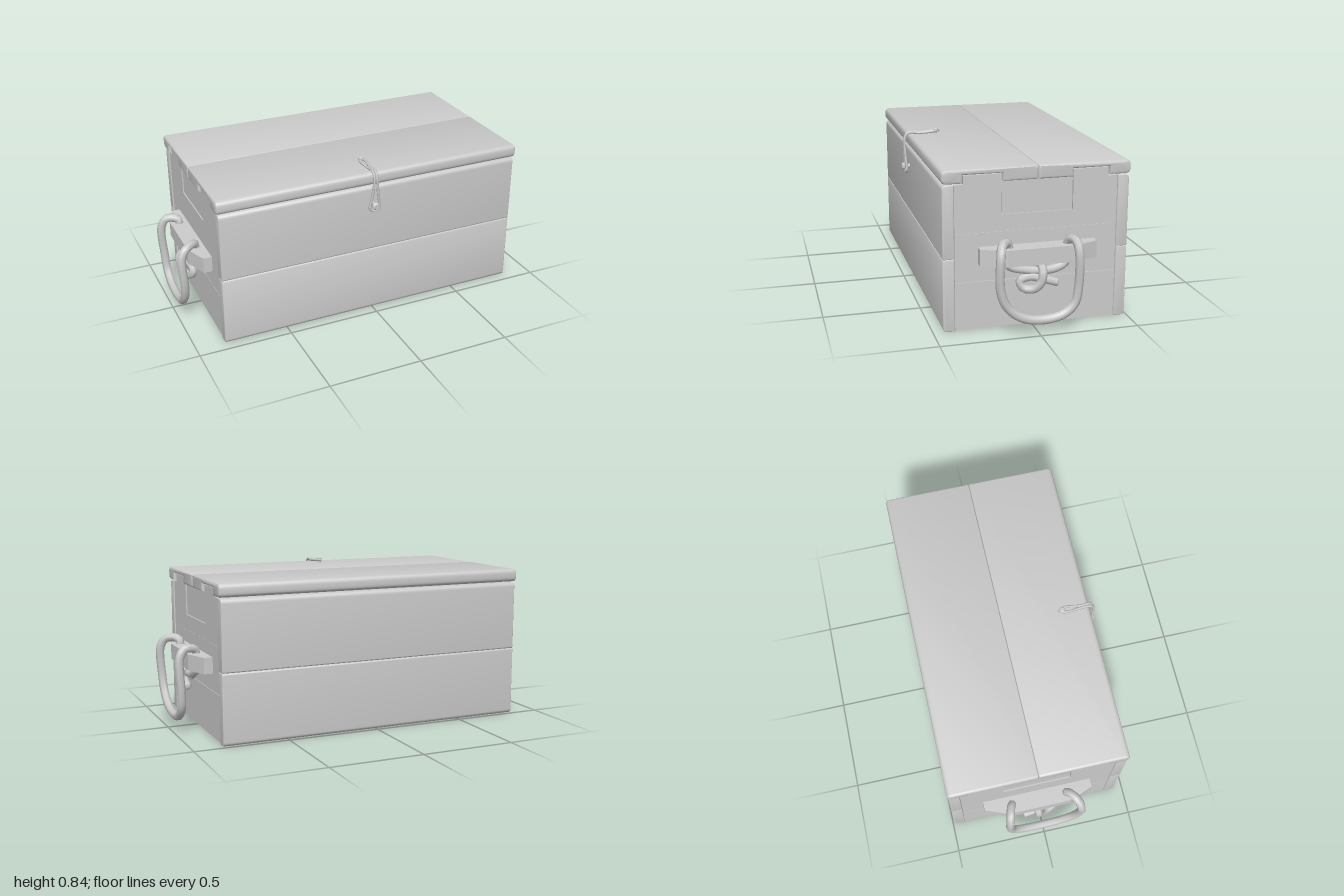
import * as THREE from 'three';
import { toCreasedNormals } from 'three/addons/utils/BufferGeometryUtils.js';

const mat = new THREE.MeshStandardMaterial({ color: 0xcccccc });

function add(group, name, geometry) {
  const mesh = new THREE.Mesh(geometry, mat);
  mesh.name = name;
  group.add(mesh);
  return mesh;
}

function box(group, name, w, h, d, x, y, z) {
  add(group, name, new THREE.BoxGeometry(w, h, d)).position.set(x, y, z);
}

// Polygon with corners [a, b, radius], each rounded by its radius.
function roundedShape(corners) {
  const shape = new THREE.Shape();
  const n = corners.length;
  corners.forEach(([a, b, r = 0], i) => {
    const p = new THREE.Vector2(a, b);
    const toward = (c) => new THREE.Vector2(c[0], c[1]).sub(p).setLength(r).add(p);
    const p0 = toward(corners[(i + n - 1) % n]);
    const p1 = toward(corners[(i + 1) % n]);
    if (i === 0) shape.moveTo(p0.x, p0.y);
    else shape.lineTo(p0.x, p0.y);
    if (r > 0) shape.quadraticCurveTo(p.x, p.y, p1.x, p1.y);
  });
  shape.closePath();
  return shape;
}

// Extrudes a (z, y) profile along x, centred on x.
function alongX(corners, length, bevel = 0) {
  const depth = length - 2 * bevel;
  const geometry = new THREE.ExtrudeGeometry(roundedShape(corners), {
    depth, curveSegments: 5, bevelEnabled: bevel > 0,
    bevelSize: bevel, bevelThickness: bevel, bevelOffset: -bevel, bevelSegments: 3,
  });
  geometry.translate(0, 0, -depth / 2);
  geometry.rotateY(-Math.PI / 2);
  return toCreasedNormals(geometry, 0.7);
}

function tube(points, radius, segments, sides, closed = false) {
  const curve = new THREE.CatmullRomCurve3(points, closed, 'centripetal');
  return new THREE.TubeGeometry(curve, segments, radius, sides, closed);
}

function buildBody() {
  const body = new THREE.Group();
  body.name = 'body';

  // Long walls: two stacked planks each, rounded on the outer edges
  for (const [name, inner, outer] of [['frontPlank', 0.392, 0.45], ['backPlank', -0.432, -0.49]]) {
    add(body, name + 'Lower', alongX(
      [[inner, 0.002], [outer, 0.002, 0.022], [outer, 0.371, 0.008], [inner, 0.371]], 1.69, 0.004));
    add(body, name + 'Upper', alongX(
      [[inner, 0.373], [outer, 0.373, 0.008], [outer, 0.74, 0.024], [inner, 0.74]], 1.69, 0.004));
  }

  box(body, 'floor', 1.676, 0.045, 0.822, 0, 0.0275, -0.02);

  // End walls: three planks, the top one with two tabs reaching into the lid
  const top = [
    [-0.43, 0.496], [0.39, 0.496], [0.39, 0.738], [0.345, 0.738], [0.345, 0.782],
    [0.157, 0.782], [0.157, 0.58], [-0.203, 0.58], [-0.203, 0.782],
    [-0.382, 0.782], [-0.382, 0.738], [-0.43, 0.738],
  ];
  for (const s of [1, -1]) {
    box(body, 'endPlankLower', 0.05, 0.242, 0.82, s * 0.815, 0.127, -0.02);
    box(body, 'endPlankMiddle', 0.05, 0.245, 0.82, s * 0.8145, 0.3725, -0.02);
    add(body, 'endPlankTop', alongX(top, 0.05)).position.x = s * 0.815;
    box(body, 'endInset', 0.044, 0.164, 0.356, s * 0.812, 0.662, -0.023);
  }
  return body;
}

function buildLid() {
  const lid = new THREE.Group();
  lid.name = 'lid';
  // Two boards, each notched underneath for the end tabs
  const board = (outer, seam, n0, n1) => [
    [outer, 0.815, 0.026], [outer, 0.746, 0.026], [n0, 0.746], [n0, 0.787],
    [n1, 0.787], [n1, 0.746], [seam, 0.746], [seam, 0.815, 0.004],
  ];
  add(lid, 'lidFrontBoard', alongX(board(0.454, -0.021, 0.35, 0.154), 1.71, 0.012));
  add(lid, 'lidBackBoard', alongX(board(-0.494, -0.023, -0.387, -0.2), 1.71, 0.012));
  return lid;
}

// Cleat with a rope handle knotted beneath it; s picks the side
function buildHandle(s) {
  const handle = new THREE.Group();
  handle.name = s > 0 ? 'leftHandle' : 'rightHandle';
  const vec = ([x, y, z]) => new THREE.Vector3(s * x, y, z);

  // Cleat: tapered in plan, extruded upward
  const plan = [[0.83, 0.295], [0.885, 0.295], [0.932, 0.17], [0.932, -0.17], [0.885, -0.295], [0.83, -0.295]];
  const cleat = new THREE.ExtrudeGeometry(
    new THREE.Shape(plan.map(([x, z]) => new THREE.Vector2(s * x, z))), { depth: 0.084, bevelEnabled: false });
  cleat.rotateX(-Math.PI / 2);
  cleat.translate(0, 0.341, -0.02);
  add(handle, 'cleat', cleat);

  // Hanging loop, threaded down through the cleat
  add(handle, 'ropeLoop', tube([
    [0.885, 0.40, 0.135], [0.885, 0.44, 0.135], [0.905, 0.456, 0.155], [0.95, 0.45, 0.185],
    [0.977, 0.41, 0.196], [0.973, 0.24, 0.196], [0.97, 0.15, 0.162], [0.968, 0.09, 0.085],
    [0.967, 0.071, -0.02], [0.968, 0.09, -0.12], [0.97, 0.14, -0.176], [0.973, 0.22, -0.193],
    [0.977, 0.41, -0.193], [0.95, 0.452, -0.187], [0.905, 0.452, -0.175],
    [0.885, 0.44, -0.165], [0.885, 0.40, -0.165],
  ].map(vec), 0.023, 56, 7));

  // Strand under the cleat
  add(handle, 'ropeStrand', tube([
    [0.885, 0.37, 0.145], [0.885, 0.33, 0.13], [0.888, 0.308, 0.06], [0.892, 0.298, -0.02],
    [0.888, 0.302, -0.1], [0.885, 0.325, -0.15], [0.885, 0.37, -0.17],
  ].map(vec), 0.022, 24, 7));

  // Knot with its loose end
  const knot = [
    [0.915, 0.24, -0.1], [0.91, 0.258, -0.04], [0.895, 0.272, 0.03], [0.89, 0.252, 0.078],
    [0.9, 0.217, 0.06], [0.92, 0.217, 0.015], [0.935, 0.255, -0.018], [0.932, 0.3, -0.026],
    [0.9, 0.322, -0.028], [0.866, 0.3, -0.02], [0.872, 0.262, 0],
  ].map(vec);
  add(handle, 'knot', tube(knot, 0.022, 40, 7));
  const end = new THREE.SphereGeometry(0.022, 7, 5);
  end.scale(1, 1, 0.4);
  add(handle, 'knotEnd', end).position.copy(knot[0]);
  return handle;
}

function buildLatch() {
  const latch = new THREE.Group();
  latch.name = 'latch';
  latch.position.x = -0.008;
  // Cord loop from a pin on the lid down to a peg on the front
  const half = [
    [0.028, 0.622, 0.472], [0.025, 0.65, 0.473], [0.014, 0.72, 0.477], [0.007, 0.795, 0.476],
    [0.007, 0.826, 0.455], [0.007, 0.823, 0.40], [0.014, 0.829, 0.32],
  ];
  const points = [
    [0, 0.606, 0.472], ...half, [0, 0.831, 0.287],
    ...half.slice().reverse().map(([x, y, z]) => [-x, y, z]),
  ].map((p) => new THREE.Vector3(...p));
  add(latch, 'cordLoop', tube(points, 0.007, 72, 6, true));

  // Pegs with a small head
  const profile = [[0, 0], [0.011, 0], [0.011, 0.03], [0.02, 0.034], [0.02, 0.042], [0.014, 0.048], [0, 0.048]];
  const peg = toCreasedNormals(
    new THREE.LatheGeometry(profile.map((p) => new THREE.Vector2(...p)), 10), 0.7);
  const frontPeg = add(latch, 'frontPeg', peg);
  frontPeg.position.set(0, 0.64, 0.447);
  frontPeg.rotation.x = Math.PI / 2;
  const lidPin = add(latch, 'lidPin', peg);
  lidPin.position.set(0, 0.812, 0.303);
  lidPin.scale.set(0.75, 0.7, 0.75);
  return latch;
}

export function createModel() {
  const model = new THREE.Group();
  model.name = 'chest';
  model.add(buildBody(), buildLid(), buildHandle(1), buildHandle(-1), buildLatch());
  return model;
}
